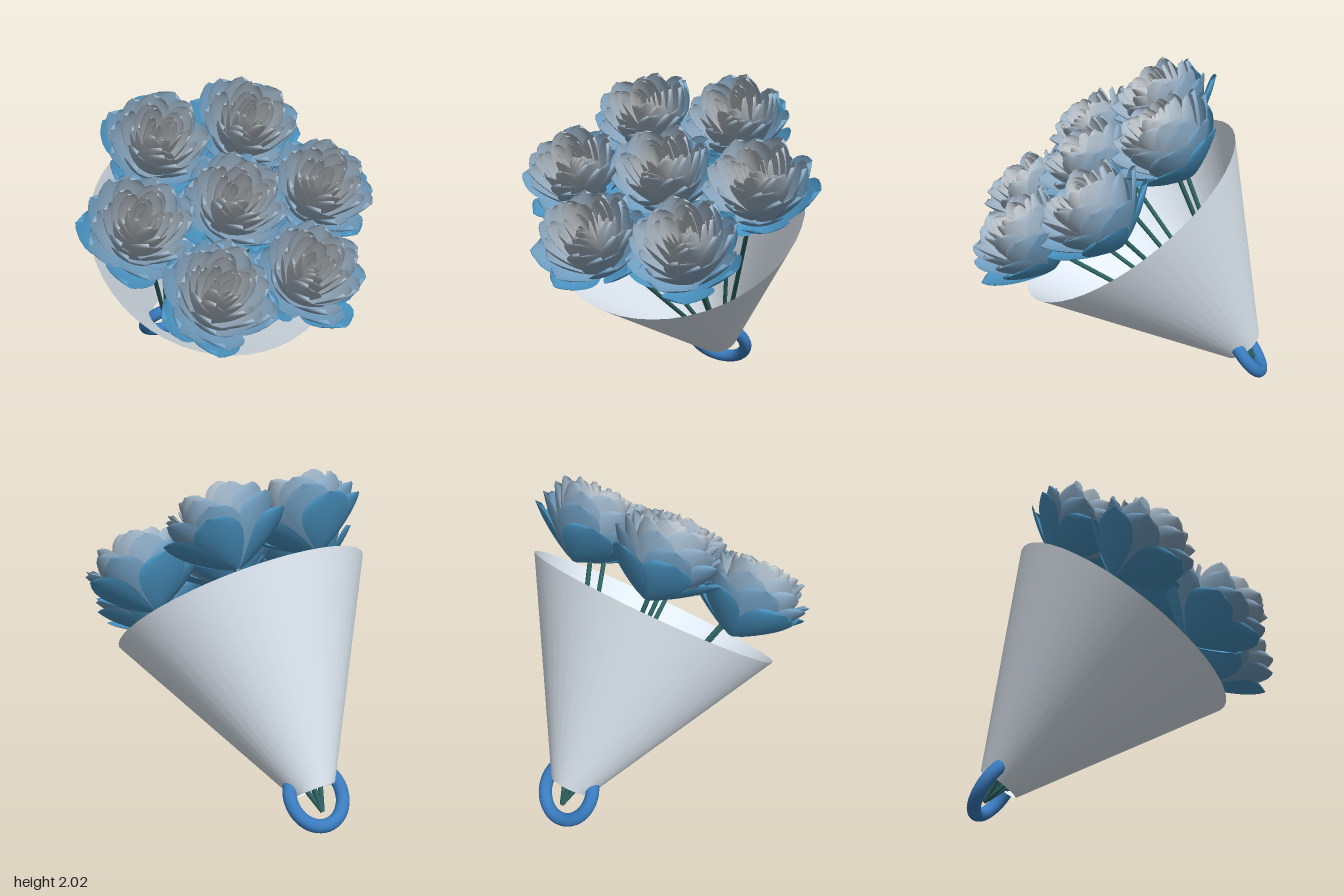
import * as THREE from 'three';
import { mergeGeometries } from 'three/addons/utils/BufferGeometryUtils.js';

const AXIS_TILT = 0.648; // bouquet leans towards the front
const FLOWER_Y = 1.265; // underside of the blooms along the bouquet axis

// Petal layers, core to outside: [petal count, tip radius, tip height, half angle, flare]
const LAYERS = [
  [3, 0.03, 0.43, 1.3, 0],
  [3, 0.06, 0.445, 1.15, 0],
  [4, 0.095, 0.455, 0.95, 0.1],
  [5, 0.14, 0.46, 0.82, 0.3],
  [5, 0.19, 0.46, 0.78, 0.5],
  [6, 0.24, 0.435, 0.7, 0.7],
  [6, 0.285, 0.38, 0.68, 0.85],
  [6, 0.325, 0.31, 0.66, 1],
  [5, 0.345, 0.235, 0.68, 1],
];

function seeded(seed) {
  return () => {
    seed = (seed * 16807) % 2147483647;
    return seed / 2147483647;
  };
}

// A cupped petal: a plane wrapped round the flower axis, rounded at the tip
function petal(radius, height, halfAngle, flare, angle) {
  const geo = new THREE.PlaneGeometry(2, 1, 10, 10);
  const pos = geo.attributes.position;
  for (let i = 0; i < pos.count; i++) {
    const u = pos.getX(i);
    const v = Math.sin((pos.getY(i) + 0.5) * Math.PI / 2);
    const phi = angle + u * halfAngle * (0.04 + 0.96 * Math.sqrt(Math.max(0, 1 - v ** 4)));
    const bowl = Math.sin(Math.PI / 2 * v);
    const open = 0.6 * bowl + 0.4 * v ** 2; // rim turned outwards
    const r = 0.012 + radius * THREE.MathUtils.lerp(bowl, open, flare)
      * (1 + 0.05 * u * v - 0.06 * u * u * v);
    pos.setXYZ(i, Math.sin(phi) * r, height * v ** 1.25, Math.cos(phi) * r);
  }
  geo.computeVertexNormals();
  return geo;
}

function petalLayer([count, radius, height, halfAngle, flare], index) {
  const rand = seeded(101 + index * 37);
  const petals = [];
  for (let i = 0; i < count; i++) {
    const angle = ((i + rand() * 0.25) / count) * Math.PI * 2 + index * 2.4;
    petals.push(petal(radius * (0.95 + rand() * 0.12), height * (0.96 + rand() * 0.08),
      halfAngle, flare, angle));
  }
  return mergeGeometries(petals);
}

function cylinderBetween(a, b, radius, material) {
  const mesh = new THREE.Mesh(
    new THREE.CylinderGeometry(radius, radius, a.distanceTo(b), 8), material);
  mesh.position.copy(a).lerp(b, 0.5);
  mesh.quaternion.setFromUnitVectors(new THREE.Vector3(0, 1, 0), b.clone().sub(a).normalize());
  return mesh;
}

export function createModel() {
  const model = new THREE.Group();
  model.name = 'bouquet';

  const bouquet = new THREE.Group();
  bouquet.name = 'tiltedBouquet';
  bouquet.position.set(-0.012, 0.2125, -0.715);
  bouquet.rotation.x = AXIS_TILT;
  model.add(bouquet);

  // Open paper cone
  const paper = new THREE.MeshStandardMaterial({ color: 0xe2ecf6, side: THREE.DoubleSide });
  const wrap = new THREE.Mesh(
    new THREE.CylinderGeometry(0.785, 0.13, 1.208, 48, 1, true), paper);
  wrap.name = 'paperCone';
  wrap.position.y = 0.604;
  bouquet.add(wrap);

  // Ring through the narrow end
  const ring = new THREE.Mesh(new THREE.TorusGeometry(0.182, 0.041, 16, 48),
    new THREE.MeshStandardMaterial({ color: 0x3a7cc0 }));
  ring.name = 'ring';
  ring.position.y = -0.032;
  bouquet.add(ring);

  // Shared petal layers, shading from pale core to blue outside
  const layers = LAYERS.map((layer, i) => ({
    geometry: petalLayer(layer, i),
    material: new THREE.MeshStandardMaterial({
      color: new THREE.Color(0xc4c8ca).lerp(new THREE.Color(0x4a94c2),
        (i / (LAYERS.length - 1)) ** 1.8),
      side: THREE.DoubleSide,
    }),
  }));
  const stemMaterial = new THREE.MeshStandardMaterial({ color: 0x2f6464 });
  const stemEnd = new THREE.Vector3(0, -0.13, 0);

  // One bloom in the middle and six round it, each over its own stem
  for (let i = 0; i < 7; i++) {
    const a = (i * Math.PI) / 3;
    const out = i === 6
      ? new THREE.Vector3()
      : new THREE.Vector3(Math.cos(a), 0, Math.sin(a));

    const flower = new THREE.Group();
    flower.name = `flower${i + 1}`;
    flower.position.copy(out).multiplyScalar(0.58);
    flower.position.y = i === 6 ? FLOWER_Y + 0.04 : FLOWER_Y;
    flower.rotation.y = i * 0.9;
    layers.forEach(({ geometry, material }, k) => {
      const mesh = new THREE.Mesh(geometry, material);
      mesh.name = `petalLayer${k + 1}`;
      flower.add(mesh);
    });
    bouquet.add(flower);

    // Stems gather closer than the blooms and reach just under them
    const top = out.clone().multiplyScalar(0.49).setY(FLOWER_Y + 0.03);
    const stem = cylinderBetween(stemEnd, top, 0.014, stemMaterial);
    stem.name = `stem${i + 1}`;
    bouquet.add(stem);
  }
  return model;
}
